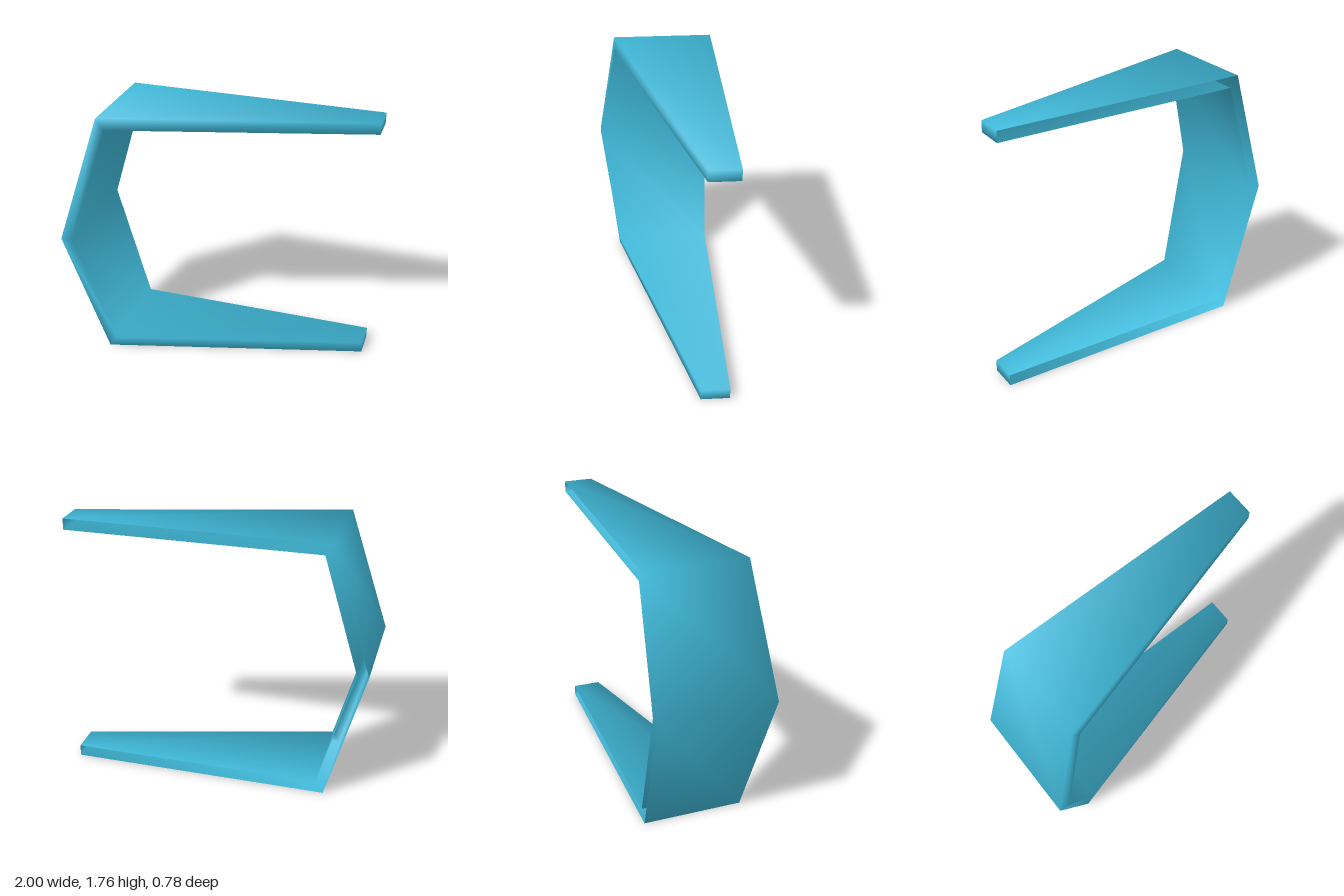
import * as THREE from 'three';

const BACK = -0.392;

// Sections along the C from the upper tip to the lower tip:
// outer x, outer y, inner x, inner y, front z
const SECTIONS = [
  [1, 1.765, 1, 1.69, -0.2],
  [-0.745, 1.765, -0.69, 1.69, 0.275],
  [-1, 0.905, -0.925, 0.905, 0.392],
  [-0.745, 0, -0.69, 0.078, 0.275],
  [1, 0, 1, 0.078, -0.2],
];

// Smooth hollow shell, open along its flat back
function bracketGeometry() {
  const points = [];
  for (const [ox, oy, ix, iy, z] of SECTIONS) {
    points.push(
      new THREE.Vector3(ox, oy, BACK), new THREE.Vector3(ox, oy, z),
      new THREE.Vector3(ix, iy, z), new THREE.Vector3(ix, iy, BACK),
    );
  }

  // End caps, then outer, front and inner walls
  const last = (SECTIONS.length - 1) * 4;
  const quads = [[0, 1, 2, 3], [last + 3, last + 2, last + 1, last]];
  for (let i = 0; i < last; i += 4) {
    for (let k = i; k < i + 3; k++) quads.push([k, k + 4, k + 5, k + 1]);
  }

  // Every wall counts equally in the shared corner normals
  const normals = points.map(() => new THREE.Vector3());
  const index = [];
  for (const [a, b, c, d] of quads) {
    const n = points[c].clone().sub(points[a])
      .cross(points[d].clone().sub(points[b])).normalize();
    for (const p of [a, b, c, d]) normals[p].add(n);
    index.push(a, b, c, a, c, d);
  }
  normals.forEach((n) => n.normalize());

  const geometry = new THREE.BufferGeometry();
  geometry.setAttribute('position',
    new THREE.Float32BufferAttribute(points.flatMap((p) => p.toArray()), 3));
  geometry.setAttribute('normal',
    new THREE.Float32BufferAttribute(normals.flatMap((n) => n.toArray()), 3));
  geometry.setIndex(index);
  return geometry;
}

export function createModel() {
  const group = new THREE.Group();
  group.name = 'bracket';
  const blue = new THREE.MeshStandardMaterial({ color: 0x40bada, side: THREE.DoubleSide });
  blue.name = 'skyBlue';
  const shell = new THREE.Mesh(bracketGeometry(), blue);
  shell.name = 'bracketShell';
  group.add(shell);
  return group;
}
